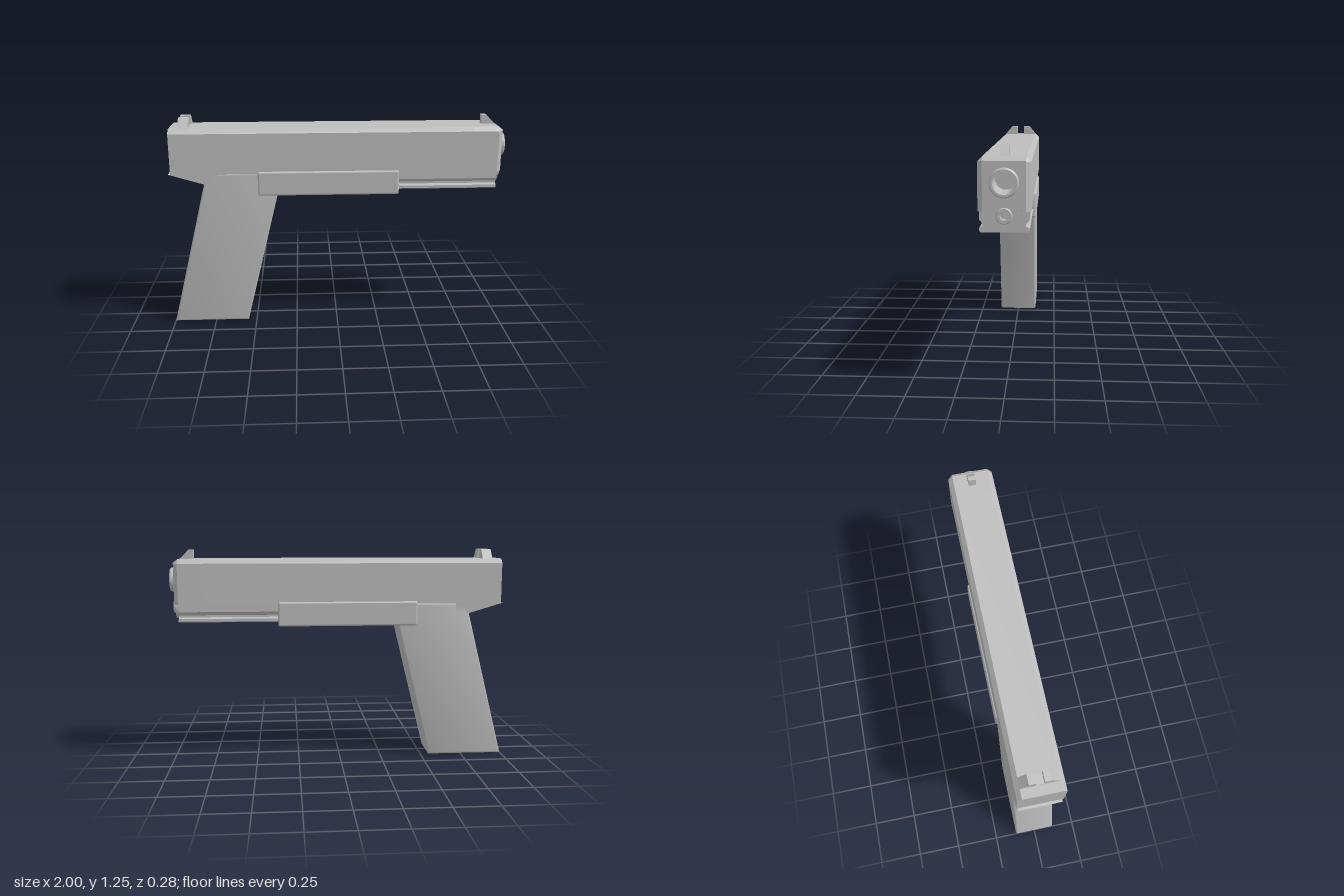
import * as THREE from 'three';
import { toCreasedNormals } from 'three/addons/utils/BufferGeometryUtils.js';
import { RoundedBoxGeometry } from 'three/addons/geometries/RoundedBoxGeometry.js';

const grey = new THREE.MeshStandardMaterial({ name: 'light grey', color: 0xbdbdbd });

const polygon = (pts) => new THREE.Shape(pts.map(([a, b]) => new THREE.Vector2(a, b)));

// Right half of a cross-section (offset, height) completed by its mirror image
const mirrored = (half) =>
  polygon([...half, ...half.map(([a, b]) => [-a, b]).reverse()]);

// Cross-section extruded lengthways, from x0 to x1
function alongX(shape, x0, x1) {
  const g = new THREE.ExtrudeGeometry(shape, { depth: x1 - x0, bevelEnabled: false, curveSegments: 24 });
  return g.rotateY(Math.PI / 2).translate(x0, 0, 0);
}

// Side outline extruded across the width, with optional rounded edges
function acrossZ(shape, width, round = 0) {
  const g = new THREE.ExtrudeGeometry(shape, {
    depth: width - 2 * round, bevelEnabled: round > 0, bevelThickness: round,
    bevelSize: round, bevelOffset: -round, bevelSegments: 3,
  });
  return g.translate(0, 0, round - width / 2);
}

// Turned part on a lengthways axis at height y; points are [radius, x]
function turned(points, y) {
  const g = new THREE.LatheGeometry(points.map(([r, x]) => new THREE.Vector2(r, x)), 40);
  return toCreasedNormals(g.rotateZ(-Math.PI / 2).translate(0, y, 0), 0.6);
}

export function createModel() {
  const model = new THREE.Group();
  model.name = 'model';
  const add = (name, geometry) => {
    const mesh = new THREE.Mesh(geometry, grey);
    mesh.name = name;
    model.add(mesh);
  };

  // Upper body: solid length, bored front length, tapered nose
  const bodyHalf = [[0.13, 0.935], [0.13, 1.175], [0.105, 1.2]];
  const boredBody = mirrored(bodyHalf);
  boredBody.holes.push(new THREE.Path().absarc(0, 1.077, 0.06, 0, Math.PI * 2, true));
  add('upperBody', alongX(mirrored(bodyHalf), -0.97, 0.8));
  add('upperBodyFront', alongX(boredBody, 0.8, 0.945));
  const nose = alongX(boredBody, 0.945, 0.97);
  const p = nose.attributes.position;
  for (let i = 0; i < p.count; i++) {
    if (p.getX(i) < 0.96) continue;
    p.setY(i, Math.min(p.getY(i), 1.18));
    p.setZ(i, THREE.MathUtils.clamp(p.getZ(i), -0.105, 0.105));
  }
  nose.computeVertexNormals();
  add('nose', nose);

  // Hollow tube and the smaller rod with its round seat
  add('frontTube', turned([[0.072, 0.9], [0.072, 0.993], [0.066, 1], [0.055, 1], [0.055, 0.81], [0, 0.81]], 1.077));
  add('lowerRod', turned([
    [0.071, 0.9], [0.071, 0.969], [0.04, 0.969], [0.04, 0.98], [0.036, 0.985],
    [0.02, 0.985], [0.02, 0.945], [0, 0.945],
  ], 0.917));

  // Grooved lower rail and the rounded middle block
  add('lowerRail', alongX(mirrored([
    [0.115, 0.832], [0.122, 0.838], [0.122, 0.853], [0.105, 0.861],
    [0.105, 0.873], [0.122, 0.893], [0.122, 0.936],
  ]), 0.1, 0.945));
  add('middleBlock', new RoundedBoxGeometry(0.83, 0.145, 0.28, 3, 0.012).translate(-0.05, 0.8775, 0));

  // Slanted handle and the wedge behind it
  const handle = polygon([[-1, 0], [-0.55, 0], [-0.319, 0.937], [-0.765, 0.937]]);
  add('handle', toCreasedNormals(acrossZ(handle, 0.24, 0.012), 0.6));
  add('rearWedge', acrossZ(polygon([[-0.985, 0.936], [-0.78, 0.875], [-0.7, 0.875], [-0.7, 0.936]]), 0.24));

  // Notched rear post and sloped front post on top
  add('rearPost', alongX(mirrored([
    [0.022, 1.205], [0.022, 1.255], [0.06, 1.255], [0.108, 1.199], [0, 1.199],
  ].reverse().slice(1).concat([[0, 1.205]])), -0.915, -0.857));
  add('frontPost', acrossZ(polygon([[0.862, 1.195], [0.945, 1.195], [0.935, 1.207], [0.89, 1.252], [0.862, 1.252]]), 0.044));
  return model;
}
